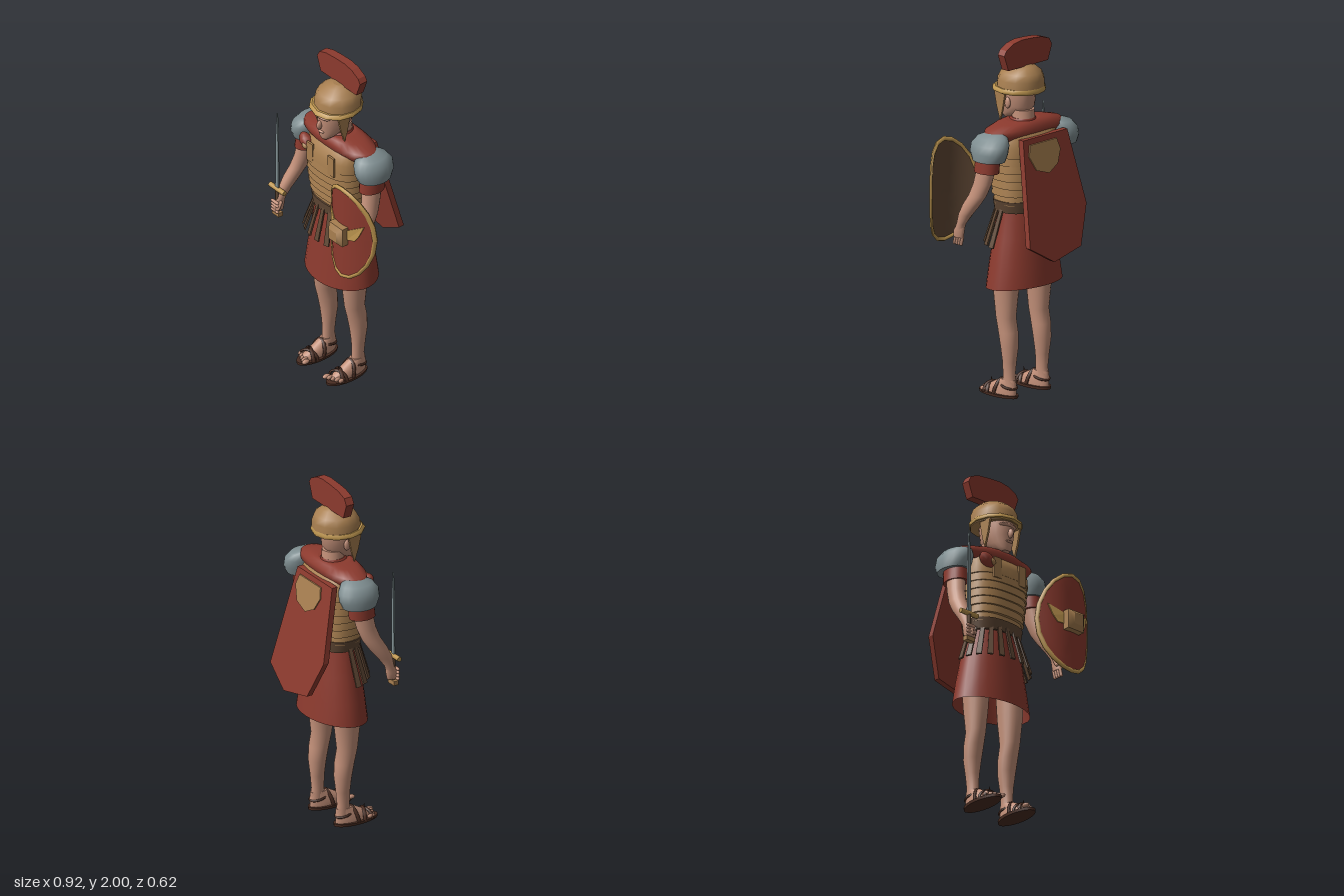
import * as THREE from 'three';

const M = -0.07; // body midline
const mat = (name, color) => Object.assign(new THREE.MeshStandardMaterial({ color }), { name });

// Stack of ellipses, bottom to top: [y, rx, rz, cx, cz, tilt]
function loft(rings, { seg = 20, power = 2, bottom = true, top = true } = {}) {
  const pos = [], idx = [];
  const ring = ([y, rx, rz, cx = M, cz = 0, tilt = 0]) => {
    for (let j = 0; j < seg; j++) {
      const a = (j / seg) * Math.PI * 2, c = Math.cos(a), s = Math.sin(a);
      const x = Math.sign(c) * Math.abs(c) ** (2 / power) * rx;
      const z = Math.sign(s) * Math.abs(s) ** (2 / power) * rz;
      pos.push(cx + x, y + z * tilt, cz + z);
    }
  };
  rings.forEach(ring);
  for (let i = 0; i < rings.length - 1; i++) for (let j = 0; j < seg; j++) {
    const a = i * seg + j, b = i * seg + (j + 1) % seg;
    idx.push(a, a + seg, b, b, a + seg, b + seg);
  }
  const cap = (r, up) => {
    const start = pos.length / 3;
    ring(r);
    pos.push(r[3] ?? M, r[0], r[4] ?? 0);
    for (let j = 0; j < seg; j++) {
      const p = start + j, q = start + (j + 1) % seg;
      idx.push(start + seg, up ? q : p, up ? p : q);
    }
  };
  if (bottom) cap(rings[0], false);
  if (top) cap(rings[rings.length - 1], true);
  const g = new THREE.BufferGeometry();
  g.setAttribute('position', new THREE.Float32BufferAttribute(pos, 3));
  g.setIndex(idx);
  g.computeVertexNormals();
  return g;
}

const outline = pts => new THREE.Shape(pts.map(p => new THREE.Vector2(...p)));
const slab = (pts, depth) => new THREE.ExtrudeGeometry(outline(pts), { depth, bevelEnabled: false }).translate(0, 0, -depth / 2);

// Moves each vertex's z by a rule
function shift(g, rule) {
  const p = g.attributes.position;
  for (let i = 0; i < p.count; i++) p.setZ(i, p.getZ(i) + rule(p.getX(i), p.getY(i)));
  g.computeVertexNormals();
  return g;
}

export function createModel() {
  const root = new THREE.Group();
  root.name = 'soldier';
  const red = mat('red cloth', 0x8c3a2e), bronze = mat('bronze', 0xa87f50), gold = mat('pale gold', 0xbf9750);
  const skin = mat('skin', 0xc39079), steel = mat('grey steel', 0x7f8e91), leather = mat('brown leather', 0x5f4734);
  const sandal = mat('dark sandal leather', 0x4a2d22);
  red.side = leather.side = THREE.DoubleSide;
  const add = (name, geo, m, x = 0, y = 0, z = 0, parent = root) => {
    const mesh = new THREE.Mesh(geo, m);
    mesh.name = name;
    mesh.position.set(x, y, z);
    parent.add(mesh);
    return mesh;
  };
  const ball = (name, m, x, y, z, sx, sy, sz) => add(name, new THREE.SphereGeometry(1, 12, 8), m, x, y, z).scale.set(sx, sy, sz);
  const box = (name, m, x, y, z, w, h, d) => add(name, new THREE.BoxGeometry(w, h, d), m, x, y, z);

  // Head and face
  add('neck', loft([[1.45, 0.075, 0.075, M, -0.03], [1.5, 0.062, 0.064, M, -0.03], [1.6, 0.06, 0.062, M, -0.025]]), skin);
  add('head', loft([[1.533, 0.025, 0.02, M, 0.085], [1.55, 0.045, 0.05, M, 0.063], [1.58, 0.063, 0.085, M, 0.03],
    [1.62, 0.077, 0.104, M, 0.015], [1.68, 0.085, 0.108, M, 0.015], [1.76, 0.085, 0.11, M, 0.005]]), skin);
  ball('nose', skin, M, 1.63, 0.122, 0.013, 0.028, 0.022);
  ball('brow', skin, M, 1.68, 0.1, 0.06, 0.014, 0.03);
  ball('lips', skin, M, 1.585, 0.113, 0.024, 0.008, 0.012);
  for (const s of [-1, 1]) ball('ear', skin, M + s * 0.085, 1.64, 0.01, 0.012, 0.032, 0.02);

  // Helmet with brim, cheek guards and crest
  add('helmetBowl', loft([[1.7, 0.133, 0.135, M, -0.005], [1.77, 0.129, 0.132, M, -0.008], [1.808, 0.112, 0.115, M, -0.012],
    [1.84, 0.07, 0.075, M, -0.018], [1.853, 0.035, 0.04, M, -0.02]], { seg: 12 }), bronze);
  add('helmetBrim', loft([[1.705, 0.142, 0.147, M, 0.006], [1.715, 0.148, 0.15, M, 0.006], [1.73, 0.137, 0.14, M, 0]], { seg: 12 }), gold);
  for (const s of [-1, 1]) {
    const guard = add('cheekGuard', slab([[0, 1.71], [0.085, 1.71], [0.065, 1.62], [0.04, 1.545], [0.022, 1.6]], 0.012), bronze, M + s * 0.109);
    guard.rotation.y = -Math.PI / 2;
    guard.rotation.x = 0;
  }
  add('crest', slab([[-0.225, 1.846], [0.08, 1.846], [0.112, 1.935], [0.095, 1.962], [0.04, 1.99], [-0.02, 2],
    [-0.1, 1.996], [-0.175, 1.988], [-0.235, 1.968], [-0.255, 1.93]], 0.05), red, 0, 0, -0.036);

  // Banded cuirass
  const bands = [[1.09, 0.172, 0.115], [1.14, 0.178, 0.127], [1.185, 0.184, 0.134], [1.23, 0.189, 0.139], [1.275, 0.193, 0.142], [1.32, 0.196, 0.144]];
  bands.forEach(([y, rx, rz], i) => add('armourBand' + (i + 1),
    loft([[y, rx + 0.004, rz + 0.005, M, -0.024], [y + 0.062, rx - 0.002, rz - 0.002, M, -0.024]], { power: 2.6, seg: 28 }), bronze));
  add('chestPlate', loft([[1.365, 0.203, 0.146, M, -0.025], [1.42, 0.2, 0.142, M, -0.025], [1.46, 0.195, 0.125, M, -0.025],
    [1.485, 0.185, 0.105, M, -0.025]], { power: 2.8, seg: 28 }), bronze);
  for (const s of [-1, 1]) box('chestStrap', bronze, M + s * 0.09, 1.4, 0.115, 0.05, 0.12, 0.012);

  // Cloak collar, brooch and cloak
  add('cloakCollar', loft([[1.455, 0.25, 0.09, M, -0.022], [1.485, 0.274, 0.11, M, -0.022], [1.515, 0.262, 0.11, M, -0.022],
    [1.538, 0.17, 0.092, M, -0.018], [1.545, 0.1, 0.078, M, -0.018]], { power: 2.3, seg: 28 }), red);
  add('neckScarf', loft([[1.5, 0.085, 0.085, M, -0.01], [1.54, 0.074, 0.078, M, -0.02], [1.555, 0.064, 0.066, M, -0.025]]), red);
  const knot = new THREE.Group();
  knot.name = 'cloakKnot';
  knot.position.set(-0.215, 1.435, 0.095);
  knot.rotation.z = -0.6;
  root.add(knot);
  add('knotCloth', new THREE.SphereGeometry(1, 10, 8), red, 0, 0, 0, knot).scale.set(0.056, 0.036, 0.035);
  add('knotPin', new THREE.SphereGeometry(1, 10, 8), bronze, 0.02, 0, 0.024, knot).scale.set(0.022, 0.016, 0.016);
  const lean = (x, y) => -0.148 - (1.46 - y) * 0.225;
  add('cloak', shift(slab([[-0.27, 1.47], [-0.325, 1.06], [-0.235, 0.845], [-0.02, 0.8], [0.145, 0.9], [0.07, 1.47]], 0.034), lean), red);
  add('backPlate', shift(slab([[-0.175, 1.44], [-0.19, 1.38], [-0.155, 1.31], [-0.08, 1.27], [0.01, 1.3], [0.05, 1.38], [0.03, 1.44]], 0.009), lean), bronze, 0, 0, -0.02);

  // Skirt, belt and hanging leather strips
  add('skirt', loft([[0.622, 0.242, 0.17, M, -0.032, -0.09], [0.75, 0.222, 0.156, M, -0.032, -0.04], [0.9, 0.192, 0.138, M, -0.03],
    [1.05, 0.16, 0.115, M, -0.026], [1.12, 0.155, 0.105, M, -0.026]], { seg: 28, bottom: false }), red);
  add('belt', loft([[1.045, 0.168, 0.122, M, -0.024], [1.11, 0.18, 0.128, M, -0.024]], { seg: 28, power: 2.4 }), leather);
  for (let i = 0; i < 11; i++) {
    const a = (i / 10) * Math.PI, c = Math.cos(a), s = Math.sin(a);
    const hi = new THREE.Vector3(M + 0.162 * c, 1.07, -0.024 + 0.12 * s);
    const lo = new THREE.Vector3(M + 0.238 * c, 0.855 + 0.02 * s, -0.015 + 0.158 * s);
    const up = hi.clone().sub(lo), len = up.length();
    up.normalize();
    const side = new THREE.Vector3().crossVectors(up, new THREE.Vector3(c, 0, s)).normalize();
    const strip = add('skirtStrip', slab([[-0.016, -len / 2], [0.016, -len / 2], [0.011, len / 2], [-0.011, len / 2]], 0.01), leather);
    strip.applyMatrix4(new THREE.Matrix4().makeBasis(side, up, side.clone().cross(up)));
    strip.position.copy(hi).lerp(lo, 0.5);
  }

  for (const s of [-1, 1]) {
    // Shoulder guard, sleeve, arm
    const X = o => M + s * o;
    add('shoulderGuard', loft([[1.365, 0.078, 0.1, X(0.275), -0.035], [1.41, 0.083, 0.12, X(0.274), -0.035], [1.455, 0.083, 0.12, X(0.264), -0.035],
      [1.49, 0.07, 0.095, X(0.248), -0.035], [1.51, 0.035, 0.05, X(0.222), -0.035]]), steel);
    add('sleeve', loft([[1.295, 0.058, 0.078, X(0.275), -0.018], [1.4, 0.056, 0.075, X(0.27), -0.025]]), red);
    add('arm', loft([[0.945, 0.02, 0.032, X(0.328), 0.138], [0.985, 0.023, 0.028, X(0.325), 0.125], [1.04, 0.031, 0.042, X(0.32), 0.1],
      [1.1, 0.039, 0.053, X(0.312), 0.062], [1.16, 0.041, 0.055, X(0.3), 0.025], [1.23, 0.043, 0.056, X(0.287), 0], [1.34, 0.047, 0.06, X(0.273), -0.02]]), skin);
    add('palm', loft([[0.905, 0.016, 0.034, X(0.326), 0.145], [0.94, 0.021, 0.037, X(0.328), 0.14], [0.98, 0.02, 0.026, X(0.326), 0.126]]), skin);
    for (let f = 0; f < 4; f++) {
      const finger = add('finger', new THREE.CapsuleGeometry(0.009, 0.045, 3, 8), skin);
      if (s < 0) { // wrapped round the grip
        finger.position.set(X(0.33), 0.905 + f * 0.019, 0.165);
        finger.rotation.z = Math.PI / 2;
      } else {
        finger.position.set(X(0.322), 0.888, 0.124 + f * 0.017);
        finger.rotation.x = -0.25;
      }
    }
    const thumb = add('thumb', new THREE.CapsuleGeometry(0.01, 0.04, 3, 8), skin, X(0.303), 0.945, 0.155);
    thumb.rotation.x = -0.5;

    // Leg and foot
    const L = X(0.126);
    add('leg', loft([[0.06, 0.032, 0.046, L, -0.045], [0.12, 0.029, 0.037, L, -0.042], [0.2, 0.036, 0.041, L, -0.045], [0.29, 0.049, 0.051, L, -0.045],
      [0.37, 0.053, 0.057, L, -0.035], [0.45, 0.052, 0.06, L, -0.018], [0.6, 0.063, 0.077, L, -0.018], [0.8, 0.073, 0.085, L, -0.02]]), skin);
    add('foot', loft([[0.015, 0.044, 0.115, L, 0.025], [0.04, 0.044, 0.112, L, 0.022], [0.065, 0.037, 0.085, L, -0.005],
      [0.1, 0.03, 0.052, L, -0.035]]), skin);
    for (let t = 0; t < 5; t++) ball('toe', skin, X(0.088 + t * 0.021), 0.028, 0.148 - t * 0.01, t ? 0.01 : 0.014, 0.013, 0.025);
    add('sandalSole', loft([[0, 0.057, 0.137, L, 0.037], [0.016, 0.06, 0.138, L, 0.037]]), sandal);
    // [z, radius, height, turn, lean]
    for (const [z, r, h, turn, tip] of [[0.095, 0.056, 0.05, 0.35, 0], [0.085, 0.056, 0.055, -0.35, 0], [0.03, 0.05, 0.085, 0, -0.25]]) {
      const strap = add('sandalStrap', new THREE.TorusGeometry(r, 0.007, 6, 16, Math.PI), sandal, L, 0.012, z);
      strap.scale.set(1, h / r, 1.6);
      strap.rotation.set(tip, turn, 0);
    }
    const heel = add('heelStrap', new THREE.TorusGeometry(0.048, 0.007, 6, 20), sandal, L, 0.062, -0.04);
    heel.rotation.x = Math.PI / 2 - 0.2;
    heel.scale.x = 0.8;
    const tie = add('strapTie', new THREE.ConeGeometry(0.012, 0.05, 4), sandal, L, 0.07, 0.09);
    tie.rotation.x = 0.25;
  }

  // Sword
  const sx = -0.4, sz = 0.148;
  add('swordBlade', slab([[-0.013, 1.04], [0.013, 1.04], [0.008, 1.42], [0, 1.54], [-0.008, 1.42]], 0.009), steel, sx, 0, sz);
  add('swordGuard', new THREE.CylinderGeometry(0.014, 0.014, 0.124, 8), gold, sx, 1.04, sz).rotation.z = Math.PI / 2;
  add('swordGrip', new THREE.CylinderGeometry(0.012, 0.012, 0.15, 8), leather, sx, 0.965, sz);
  box('swordPommel', bronze, sx, 0.885, sz, 0.058, 0.026, 0.03);

  // Oval shield, curved about the vertical
  const shield = new THREE.Group();
  shield.name = 'shield';
  shield.position.set(0.27, 1.16, 0.245);
  root.add(shield);
  const bend = g => shift(g, x => -2.5 * x * x);
  const oval = inner => new THREE.RingGeometry(inner, 1, 20, 5).scale(0.186, 0.29, 1);
  add('shieldFace', bend(oval(0.001)), red, 0, 0, 0.005, shield);
  add('shieldBack', bend(oval(0.001)), leather, 0, 0, -0.005, shield);
  add('shieldRim', bend(new THREE.TorusGeometry(0.97, 0.045, 6, 20).scale(0.188, 0.292, 0.28)), gold, 0, 0, 0, shield);
  for (const s of [-1, 1]) {
    const wing = [[0.143, 0.09], [0.048, 0.037], [0.05, -0.021], [0.095, -0.016], [0.117, 0.02]].map(([x, y]) => [s * x, y]);
    add('shieldWing', bend(slab(wing, 0.006)), gold, 0, 0, 0.012, shield);
  }
  add('shieldBoss', new THREE.BoxGeometry(0.112, 0.112, 0.04), bronze, -0.005, 0, 0.02, shield);
  const dome = new THREE.CylinderGeometry(0.045, 0.079, 0.024, 4).rotateY(Math.PI / 4).rotateX(Math.PI / 2);
  add('shieldBossCap', dome, bronze, -0.005, 0, 0.052, shield);
  return root;
}
